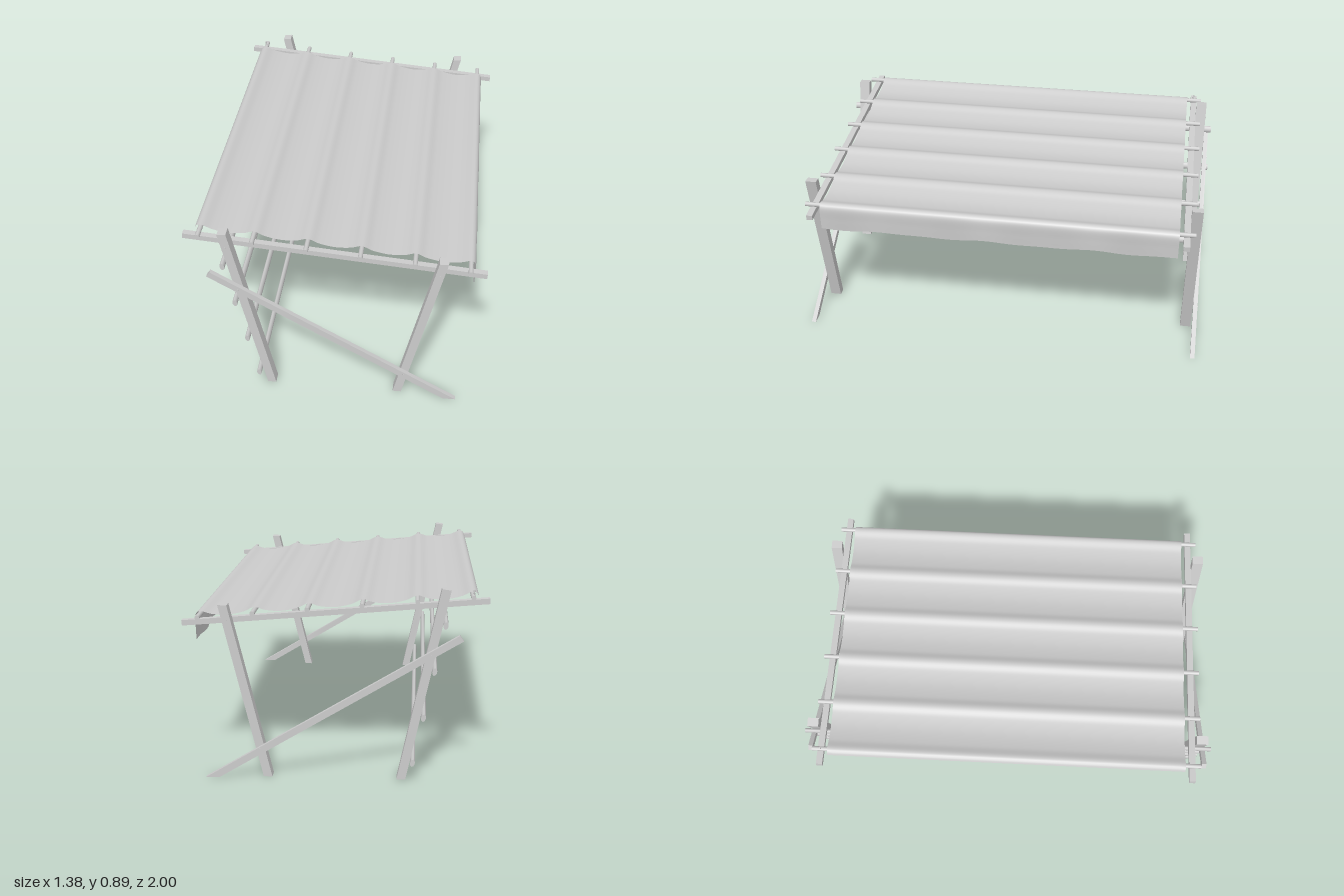
import * as THREE from 'three';

const mat = new THREE.MeshStandardMaterial({ color: 0xcccccc });
const clothMat = new THREE.MeshStandardMaterial({ color: 0xcccccc, side: THREE.DoubleSide });

const railTop = (x) => 0.781 - 0.087 * x;
const POLE_X = [-0.615, -0.37, -0.125, 0.12, 0.366, 0.615];
const POLE_R = 0.011;

export function createModel() {
  const root = new THREE.Group();
  root.name = 'awning';

  const add = (name, geometry, x = 0, y = 0, z = 0, material = mat) => {
    const mesh = new THREE.Mesh(geometry, material);
    mesh.name = name;
    mesh.position.set(x, y, z);
    root.add(mesh);
    return mesh;
  };

  // Timber cut to a side outline, one at each end of the frame
  const timberPair = (name, corners, zIn, zOut) => {
    const shape = new THREE.Shape(corners.map(([x, y]) => new THREE.Vector2(x, y)));
    const geo = new THREE.ExtrudeGeometry(shape, { depth: zOut - zIn, bevelEnabled: false });
    add(name + 'Front', geo, 0, 0, zIn);
    add(name + 'Back', geo, 0, 0, -zOut);
  };
  timberPair('tallPost', [[-0.326, 0], [-0.286, 0], [-0.476, 0.89], [-0.517, 0.885]], 0.91, 0.963);
  timberPair('shortPost', [[0.283, 0], [0.323, 0], [0.516, 0.805], [0.475, 0.803]], 0.91, 0.963);
  timberPair('roofRail', [[-0.691, 0.815], [0.689, 0.695], [0.691, 0.72], [-0.689, 0.84]], 0.88, 0.91);
  timberPair('brace', [[-0.575, 0.663], [0.525, 0], [0.585, 0], [-0.558, 0.688]], 0.966, 0.988);

  // Round pole running along z
  const pole = (name, x, y, r, length, stretch = 1, tilt = 0) => {
    const geo = new THREE.CylinderGeometry(r, r, length, 10).rotateX(Math.PI / 2);
    geo.scale(1, stretch, 1).rotateZ(tilt);
    add(name, geo, x, y, 0);
  };
  POLE_X.forEach((x, i) => pole('roofPole' + (i + 1), x, railTop(x) + POLE_R, POLE_R, 1.87));

  // Wall rails fixed to the outer face of the tall posts
  [0.095, 0.31, 0.525, 0.735].forEach((y, i) =>
    pole('wallRail' + (i + 1), -0.338 - 0.2135 * y, y, 0.011, 2, 1.6, 0.21));

  // Nail heads at the joints
  const nailGeo = new THREE.CylinderGeometry(0.004, 0.004, 0.006, 8).rotateX(Math.PI / 2);
  for (const s of [-1, 1]) {
    add('postNail', nailGeo, -0.484, 0.815, s * 0.963);
    add('postNail', nailGeo, 0.48, 0.735, s * 0.963);
    add('braceNail', nailGeo, -0.435, 0.595, s * 0.988);
    add('braceNail', nailGeo, 0.335, 0.14, s * 0.988);
  }
  const peg = add('polePeg', new THREE.CylinderGeometry(0.004, 0.004, 0.035, 8), -0.617, 0.857, -0.893);
  peg.rotation.z = 0.2;

  // Cloth profile: over each pole, sagging between, then hanging at the low side
  const profile = [[-0.643, 0.838], [-0.634, 0.853]];
  const clothTop = (x) => railTop(x) + 2 * POLE_R + 0.003;
  for (let i = 0; i < POLE_X.length - 1; i++) {
    for (const t of [0, 0.2, 0.5, 0.8]) {
      const x = THREE.MathUtils.lerp(POLE_X[i], POLE_X[i + 1], t);
      profile.push([x, clothTop(x) - 0.026 * 4 * t * (1 - t)]);
    }
  }
  profile.push([0.615, clothTop(0.615)], [0.63, 0.745], [0.637, 0.73], [0.636, 0.67], [0.634, 0.618]);
  const curve = new THREE.CatmullRomCurve3(
    profile.map(([x, y]) => new THREE.Vector3(x, y, 0)), false, 'centripetal');

  const cloth = new THREE.PlaneGeometry(1, 1.72, 160, 60).rotateX(-Math.PI / 2);
  const pos = cloth.attributes.position;
  for (let i = 0; i < pos.count; i++) {
    const z = pos.getZ(i);
    const p = curve.getPointAt(THREE.MathUtils.clamp(pos.getX(i) + 0.5, 0, 1));
    // Gentle waves in the hanging flap
    const hang = p.x > 0.62 ? THREE.MathUtils.clamp((0.74 - p.y) / 0.12, 0, 1) : 0;
    const wave = Math.sin(z * 13 + 1) + 0.6 * Math.sin(z * 23);
    pos.setXYZ(i, p.x + 0.003 * hang * wave, p.y + 0.005 * hang * wave, z);
  }
  cloth.computeVertexNormals();
  add('clothCanopy', cloth, 0, 0, 0, clothMat);

  return root;
}
